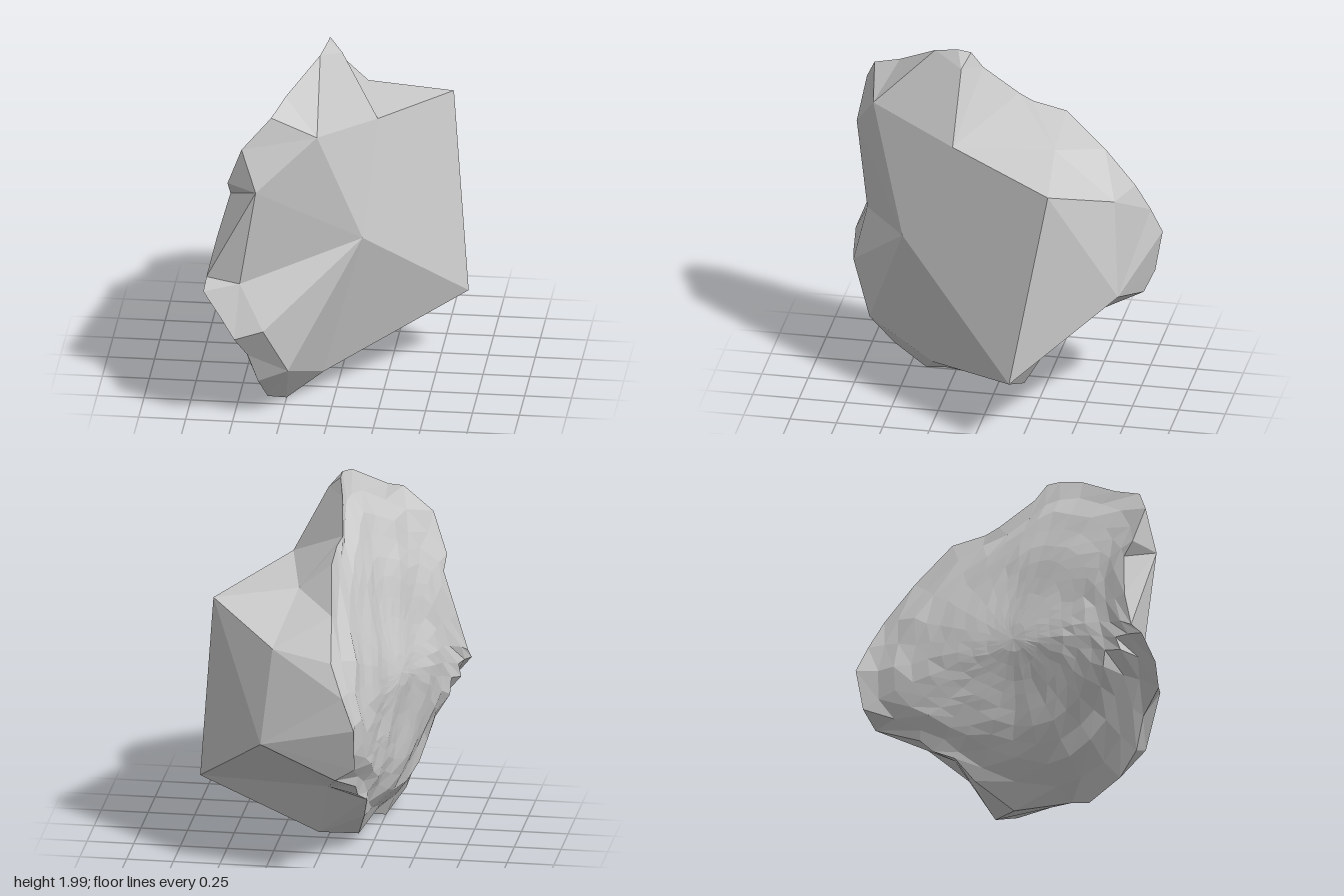
import * as THREE from 'three';

// Shared rim between the weathered face and the chipped body, clockwise seen from +x
const rim = [
  [-.05, 2, .2], [-.05, 1.99, .13], [-.07, 1.9, .07], [-.1, 1.75, -.12], [-.08, 1.72, -.2],
  [-.08, 1.68, -.38], [-.11, 1.46, -.58], [-.13, 1.25, -.74], [-.2, 1.08, -.81], [-.27, .92, -.86],
  [-.27, .69, -.82], [-.16, .61, -.78], [-.23, .49, -.52], [-.23, .42, -.45], [-.26, .35, -.32],
  [-.23, .22, -.22], [-.17, .05, -.02], [-.19, .05, .3], [-.25, .01, .41], [-.33, .1, .6],
  [-.37, .23, .7], [-.42, .4, .75], [-.48, .53, .85], [-.55, .65, .85], [-.65, .78, .8],
  [-.64, .84, .74], [-.59, 1.05, .69], [-.52, 1.3, .67], [-.53, 1.38, .72], [-.45, 1.6, .77],
  [-.3, 1.76, .7], [-.24, 1.82, .55], [-.08, 1.97, .33],
];
const n = rim.length;

// Corners of the large facets
const corner = {
  A: [.02, 1.92, .17], B: [.21, 1.55, .18], C: [.55, 1.47, -.4], D: [.65, .4, -.21],
  E: [.16, .98, .46], F: [-.06, 1.64, .66], G: [-.37, 1.37, .81], H: [-.46, .82, .77],
  I: [-.33, .57, .82], J: [-.21, .3, .71], K: [-.06, .14, .34], L: [.02, .1, -.17],
  M: [.25, .77, -.72], N: [.19, 1.3, -.69], P: [.1, 1.53, -.35], Q: [-.06, .43, -.37],
};

function meshFrom(name, triangles) {
  const geometry = new THREE.BufferGeometry();
  geometry.setAttribute('position', new THREE.Float32BufferAttribute(triangles.flat(2), 3));
  geometry.computeVertexNormals();
  const mesh = new THREE.Mesh(geometry, new THREE.MeshStandardMaterial({ color: 0xcccccc, flatShading: true }));
  mesh.name = name;
  return mesh;
}

// Chipped body: each outer corner fans to a run of the rim, inner fans close the middle
function chippedBody() {
  const tris = [];
  const runs = [
    ['A', 32, 35], ['B', 35, 36], ['P', 36, 39], ['N', 39, 41], ['M', 41, 44], ['Q', 44, 47], ['L', 47, 50],
    ['K', 50, 51], ['J', 51, 54], ['I', 54, 55], ['H', 55, 58], ['G', 58, 62], ['F', 62, 65],
  ];
  runs.forEach(([key, from, to], k) => {
    for (let i = from; i < to; i++) tris.push([corner[key], rim[(i + 1) % n], rim[i % n]]);
    const next = runs[(k + 1) % runs.length][0];
    tris.push([corner[key], corner[next], rim[to % n]]);
  });
  const fan = (hub, ring) => {
    for (let i = 0; i + 1 < ring.length; i++) tris.push([corner[hub], corner[ring[i + 1]], corner[ring[i]]]);
  };
  fan('E', 'BCDKJIHGFB');
  fan('C', 'BPNMD');
  fan('D', 'MQLK');
  fan('A', 'BF');
  return meshFrom('chippedBody', tris);
}

// Smooth relief of the weathered face: leans back above, tucks in below, with a diagonal ledge
function relief(y, z) {
  const d = y - .9;
  const slope = d > 0 ? .2 * d + .13 * d * d : .2 * d * d;
  const sweep = z > 0 ? -.32 * z : -.2 * z - .08 * z * z;
  const above = y - (.34 + .58 * z);
  const front = Math.max(0, z);
  const ledge = front * (.1 * THREE.MathUtils.smoothstep(-above, 0, .16) - .03 * Math.exp(-((above / .08) ** 2)));
  const ripple = .007 * Math.sin(11 * y + 5 * z) + .006 * Math.sin(17 * z - 9 * y);
  return -.38 + sweep + slope + ledge + ripple;
}

// Weathered face: rings relaxing and shrinking from the rim to a centre, laid onto the relief
function weatheredFace() {
  let seed = 7;
  const rand = () => (seed = (seed * 16807) % 2147483647) / 2147483647 - .5;
  const cy = .95, cz = .03, ringCount = 10;
  const rings = [rim];
  let loop = rim;
  for (let r = 1; r < ringCount; r++) {
    const t = r / ringCount;
    const rough = .03 * (1 - t);
    loop = loop.map((p, i) => p.map((v, k) => v / 2 + (loop[(i + 1) % n][k] + loop[(i + n - 1) % n][k]) / 4));
    rings.push(loop.map(([px, py, pz]) => {
      const y = py + (cy - py) * t + rand() * rough;
      const z = pz + (cz - pz) * t + rand() * rough;
      const x = THREE.MathUtils.lerp(px, relief(y, z), Math.min(1, 5 * t));
      return [x + rand() * rough * .5, y, z];
    }));
  }
  const centre = [relief(cy, cz), cy, cz];
  const tris = [];
  for (let i = 0; i < n; i++) {
    const j = (i + 1) % n;
    for (let r = 0; r + 1 < ringCount; r++) {
      const a = rings[r], b = rings[r + 1];
      tris.push([a[i], a[j], b[j]], [a[i], b[j], b[i]]);
    }
    tris.push([centre, rings[ringCount - 1][i], rings[ringCount - 1][j]]);
  }
  return meshFrom('weatheredFace', tris);
}

export function createModel() {
  const group = new THREE.Group();
  group.name = 'rockFragment';
  group.add(chippedBody(), weatheredFace());
  return group;
}
